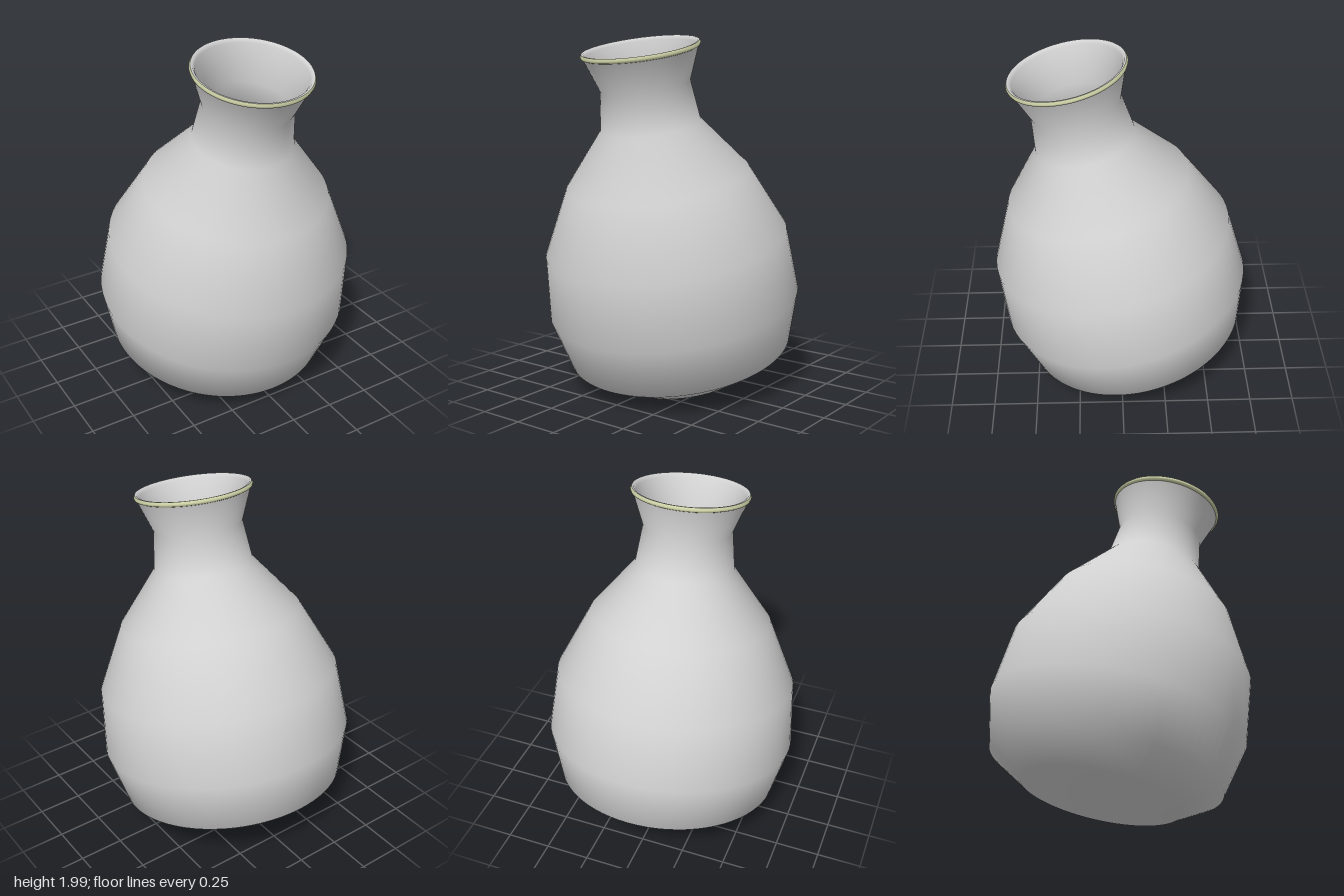
import * as THREE from 'three';

const SEGMENTS = 72;

function lathe(name, profile, material) {
  const points = profile.map(([r, y]) => new THREE.Vector2(r, y));
  const mesh = new THREE.Mesh(new THREE.LatheGeometry(points, SEGMENTS), material);
  mesh.name = name;
  return mesh;
}

function colour(name, hex) {
  const material = new THREE.MeshStandardMaterial({ color: hex });
  material.name = name;
  return material;
}

export function createModel() {
  const clay = colour('pale grey clay', 0xd2d2d2);
  const glaze = colour('pale olive glaze', 0xcfd3a8);
  const wine = colour('dark red liquid', 0x6c0d11);

  const flask = new THREE.Group();
  flask.name = 'tiltedFlask';

  // Outer wall: flat base, round belly, narrow neck, flared mouth
  flask.add(lathe('outerWall', [
    [0, 0], [0.44, 0], [0.641, 0.128], [0.716, 0.424], [0.683, 0.79],
    [0.511, 1.153], [0.276, 1.452], [0.246, 1.669], [0.312, 1.85],
  ], clay));

  // Coloured bead around the outside of the lip
  flask.add(lathe('rimBead', [
    [0.312, 1.85], [0.322, 1.855], [0.325, 1.866], [0.318, 1.878],
  ], glaze));

  // Rounded lip and inner wall
  flask.add(lathe('innerWall', [
    [0.318, 1.878], [0.306, 1.876], [0.295, 1.86], [0.219, 1.669],
    [0.247, 1.44], [0.485, 1.14], [0.655, 0.78], [0.688, 0.43],
    [0.615, 0.145], [0.43, 0.03], [0, 0.03],
  ], clay));

  // Liquid filling the belly up to the bottom of the neck
  flask.add(lathe('liquid', [
    [0, 0.04], [0.42, 0.04], [0.605, 0.155], [0.678, 0.43], [0.645, 0.78],
    [0.475, 1.14], [0.243, 1.435], [0.12, 1.443], [0, 1.446],
  ], wine));

  // The whole flask leans forward
  flask.rotation.x = THREE.MathUtils.degToRad(12);
  flask.position.set(0, 0.0925, -0.11);

  const model = new THREE.Group();
  model.name = 'flask';
  model.add(flask);
  return model;
}
